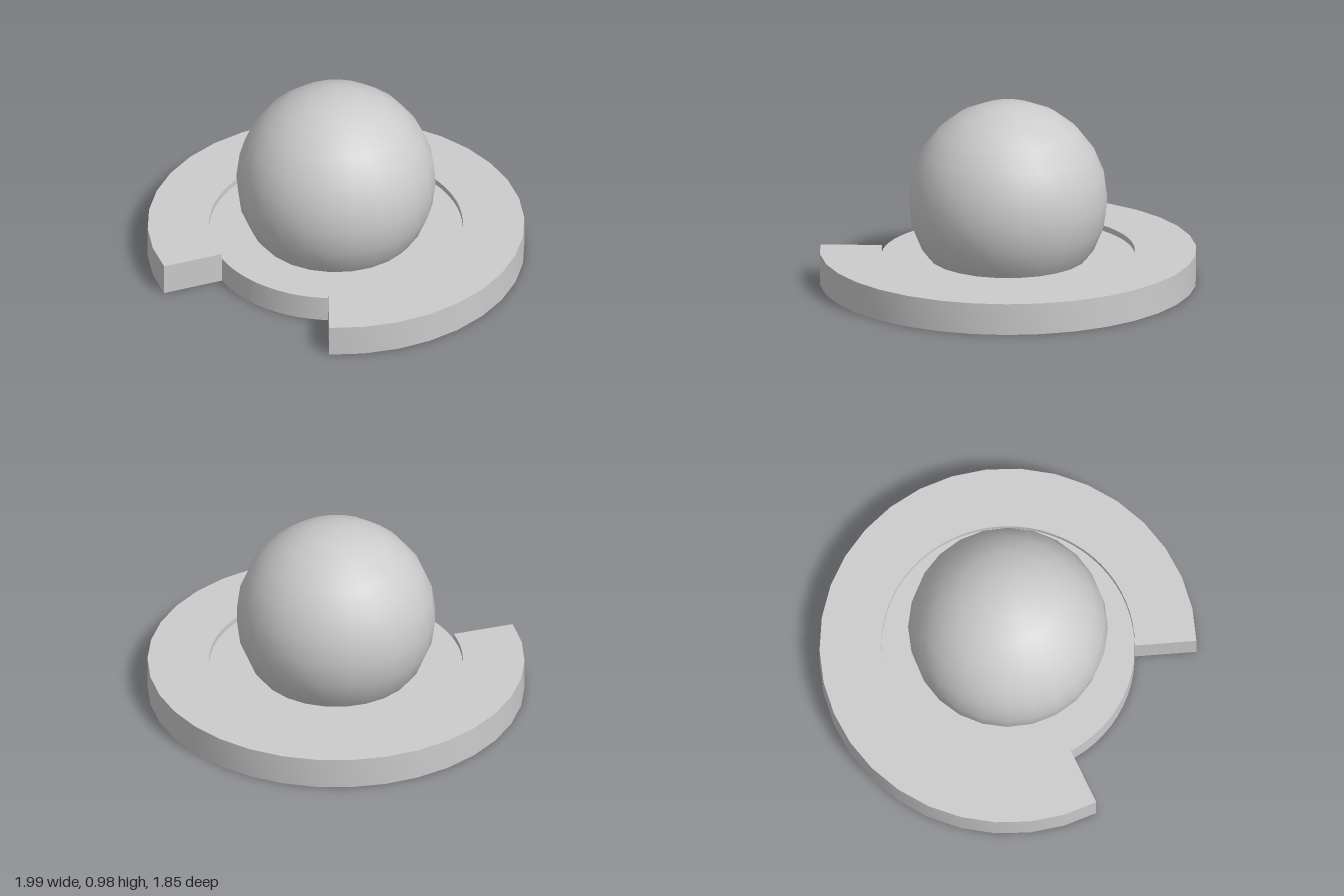
import * as THREE from 'three';
import { toCreasedNormals } from 'three/addons/utils/BufferGeometryUtils.js';

const material = new THREE.MeshStandardMaterial({ color: 0xcccccc });

function addPart(group, name, geometry, y = 0) {
  const mesh = new THREE.Mesh(geometry, material);
  mesh.name = name;
  mesh.position.y = y;
  group.add(mesh);
}

// Points on an arc that leaves a gap of +-gap radians around the front
function openArc(radius, gap, segments) {
  return Array.from({ length: segments + 1 }, (_, i) => {
    const t = gap + (i / segments) * 2 * (Math.PI - gap);
    return new THREE.Vector2(radius * Math.sin(t), -radius * Math.cos(t));
  });
}

export function createModel() {
  const group = new THREE.Group();
  group.name = 'domeOnOpenRing';
  const centreZ = 0.073;

  // Raised C-shaped ring, open at the front
  const outer = openArc(1, 0.555, 28);
  const inner = openArc(0.673, 0.529, 56).reverse();
  const ring = new THREE.ExtrudeGeometry(new THREE.Shape([...outer, ...inner]), {
    depth: 0.17, bevelEnabled: false,
  });
  ring.rotateX(-Math.PI / 2);
  addPart(group, 'openRing', toCreasedNormals(ring, 0.5));

  // Slightly lower disc filling the ring
  addPart(group, 'baseDisc', new THREE.CylinderGeometry(0.672, 0.672, 0.14, 64), 0.07);

  // Ball sunk into the disc, cut off below its surface
  const ball = new THREE.SphereGeometry(0.53, 24, 9, 0, Math.PI * 2, 0, Math.PI * 0.75);
  addPart(group, 'ball', ball, 0.452);

  group.children.forEach((part) => { part.position.z = centreZ; });
  return group;
}
